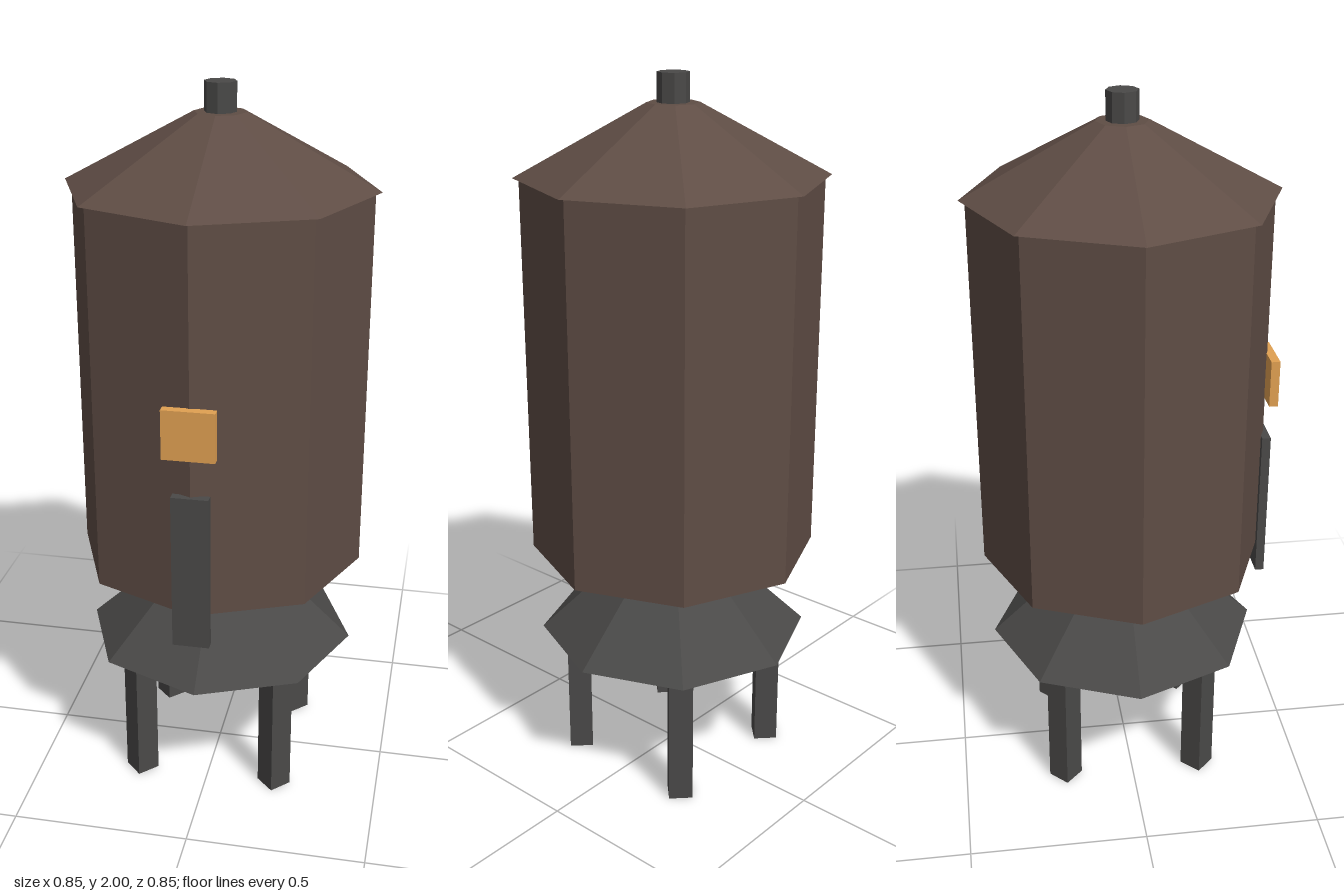
import * as THREE from 'three';

const material = (color) => new THREE.MeshStandardMaterial({ color, flatShading: true });

export function createModel() {
  const group = new THREE.Group();
  const brown = material(0x5f4d45);
  const grey = material(0x4a4948);
  const amber = material(0xe0a052);
  const axisZ = -0.002; // the tank sits a hair behind centre, balancing the front panel

  const add = (name, geometry, mat, x, y, z) => {
    const mesh = new THREE.Mesh(geometry, mat);
    mesh.name = name;
    mesh.position.set(x, y, z);
    group.add(mesh);
  };

  // Faceted frustum between two heights, with a corner facing front
  const frustum = (name, mat, rTop, rBottom, y0, y1, sides = 8, x = 0, z = 0) =>
    add(name, new THREE.CylinderGeometry(rTop, rBottom, y1 - y0, sides), mat, x, (y0 + y1) / 2, z + axisZ);

  // Four diamond-section legs
  for (const x of [-0.2, 0.2]) {
    for (const z of [-0.2, 0.2]) frustum('leg', grey, 0.048, 0.048, 0, 0.403, 4, x, z);
  }

  // Hopper cone, tank, roof and vent pipe
  frustum('hopperCone', grey, 0.1, 0.387, 0.403, 0.67);
  frustum('tank', brown, 0.406, 0.406, 0.668, 1.732);
  frustum('roof', brown, 0.07, 0.423, 1.732, 1.923);
  frustum('ventPipe', grey, 0.043, 0.043, 1.9, 2);

  // Front fittings
  add('chute', new THREE.BoxGeometry(0.1, 0.44, 0.025), grey, 0, 0.8, 0.403);
  add('panel', new THREE.BoxGeometry(0.14, 0.135, 0.025), amber, 0, 1.197, 0.4125);

  return group;
}
